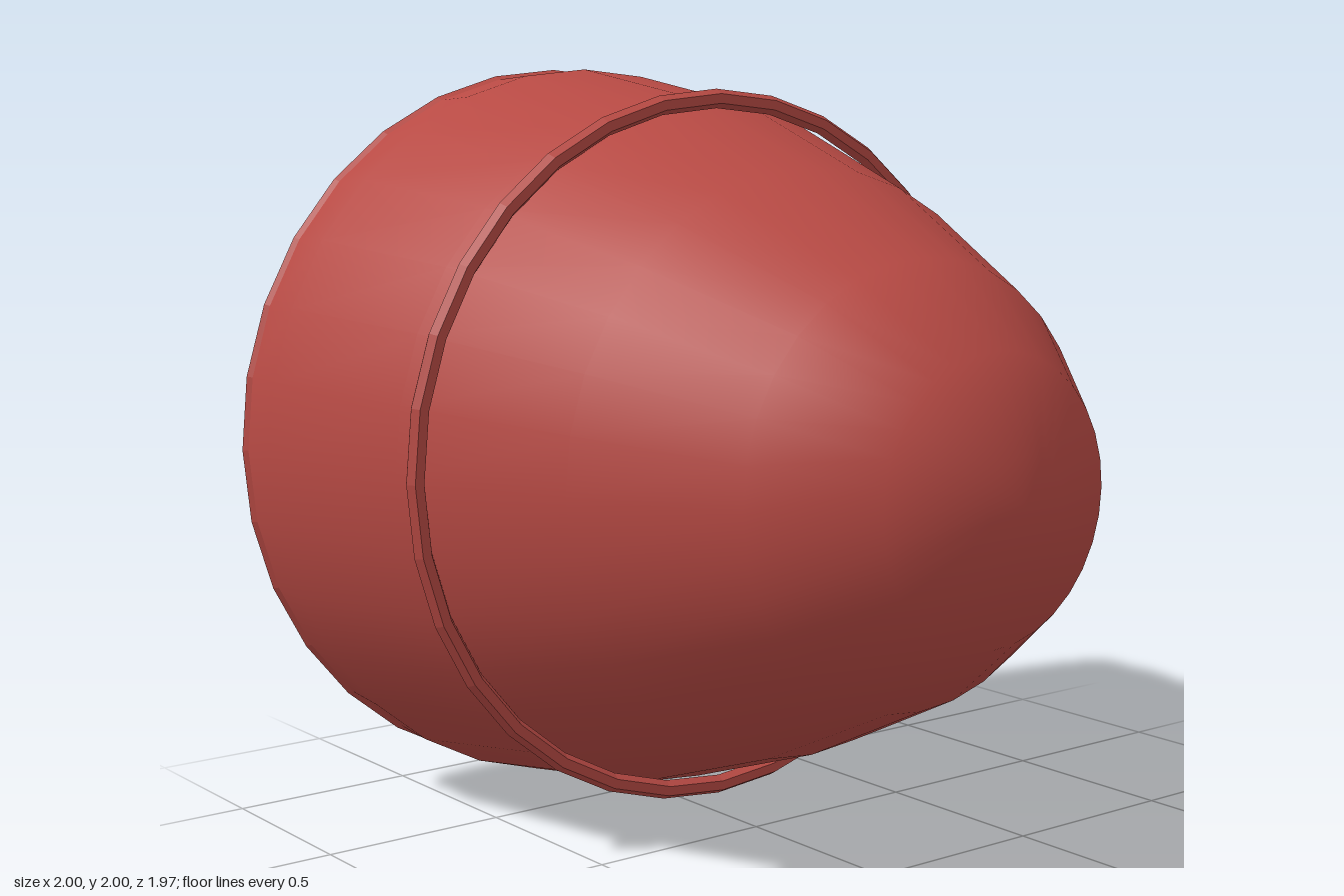
import * as THREE from 'three';

const SIDES = 32;

export function createModel() {
  const model = new THREE.Group();
  const red = { color: 0xb84a44 };
  const shellMat = new THREE.MeshStandardMaterial({ ...red, side: THREE.DoubleSide });
  const ringMat = new THREE.MeshStandardMaterial({ ...red, flatShading: true });
  const lensMat = new THREE.MeshStandardMaterial({ color: 0xdcdad2 });

  const add = (name, geometry, material, z = 0) => {
    const mesh = new THREE.Mesh(geometry, material);
    mesh.name = name;
    mesh.position.set(0, 1, z);
    model.add(mesh);
  };

  // Bullet-shaped housing, turned about the z axis: [radius, z] from open back to nose
  const profile = [
    [0.99, -0.92], [1.0, -0.77], [0.92, -0.26], [0.75, 0.23],
    [0.55, 0.64], [0.35, 0.89], [0.12, 0.985], [0, 0.985],
  ].map(([r, z]) => new THREE.Vector2(r, z));
  add('housing', new THREE.LatheGeometry(profile, SIDES).rotateX(Math.PI / 2), shellMat);

  // Six-sided rings: the trim band round the middle and the rim that holds the lens
  add('trimBand', new THREE.TorusGeometry(0.92, 0.025, 6, SIDES), ringMat, -0.165);
  add('lensRim', new THREE.TorusGeometry(0.95, 0.05, 6, SIDES), ringMat, -0.925);

  // Shallow domed lens: the back half of a flattened sphere
  const lens = new THREE.SphereGeometry(1, SIDES, 12, 0, Math.PI * 2, 0, Math.PI / 2)
    .rotateX(-Math.PI / 2)
    .scale(0.91, 0.91, 0.06);
  add('lens', lens, lensMat, -0.925);

  return model;
}
